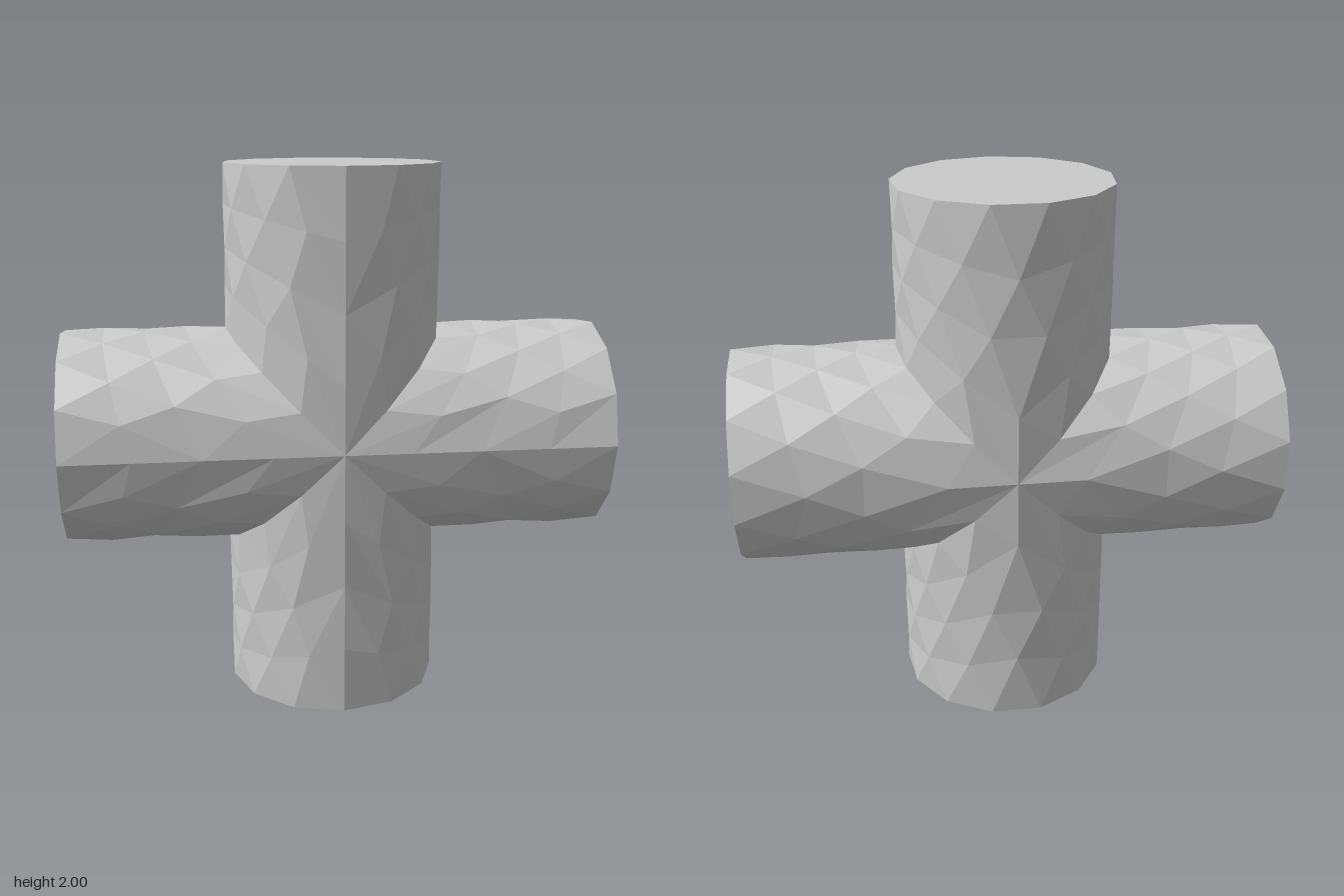
import * as THREE from 'three';

const R = 0.4, TAU = Math.PI * 2, SIDES = 13, STEP = TAU / SIDES;

// Rings of angles, all running from 0 (front) to a full turn
const even = n => Array.from({ length: n + 1 }, (_, i) => (i / n) * TAU);
const FRONT = 0.33;
const staggered = [0, FRONT];
for (let k = 1; k < SIDES - 1; k++) staggered.push((k + 0.5) * STEP);
staggered.push(TAU - FRONT, TAU);

// One upright arm: mitred at the crossing, flat at its outer end
function armGeometry() {
  const rows = [
    [0, even(16)],
    [0.25, staggered],
    [0.5, even(SIDES)],
    [0.75, staggered],
    [1, even(SIDES)],
  ].map(([u, angles]) => angles.map(angle => {
    const x = R * Math.sin(angle), inner = Math.abs(x);
    return { angle, p: [x, inner + (1 - inner) * u, R * Math.cos(angle)] };
  }));

  const positions = [];
  const tri = (a, b, c) => positions.push(...a, ...b, ...c);

  // Zip neighbouring rings together into triangles
  for (let r = 0; r < rows.length - 1; r++) {
    const low = rows[r], high = rows[r + 1];
    let i = 0, j = 0;
    while (i < low.length - 1 || j < high.length - 1) {
      const nextLow = low[i + 1]?.angle ?? Infinity;
      const nextHigh = high[j + 1]?.angle ?? Infinity;
      if (nextLow <= nextHigh) {
        tri(low[i].p, low[i + 1].p, high[j].p);
        i++;
      } else {
        tri(low[i].p, high[j + 1].p, high[j].p);
        j++;
      }
    }
  }

  // End cap
  const rim = rows[rows.length - 1];
  for (let k = 0; k < SIDES; k++) tri([0, 1, 0], rim[k].p, rim[k + 1].p);

  const geometry = new THREE.BufferGeometry();
  geometry.setAttribute('position', new THREE.Float32BufferAttribute(positions, 3));
  geometry.computeVertexNormals();
  return geometry;
}

export function createModel() {
  const group = new THREE.Group();
  group.name = 'crossedCylinders';
  const material = new THREE.MeshStandardMaterial({ color: 0xcccccc, flatShading: true });
  const geometry = armGeometry();

  // Four equal arms around the crossing
  ['topArm', 'rightArm', 'bottomArm', 'leftArm'].forEach((name, i) => {
    const arm = new THREE.Mesh(geometry, material);
    arm.name = name;
    arm.position.y = 1;
    arm.rotation.z = i * Math.PI / 2;
    group.add(arm);
  });
  return group;
}
